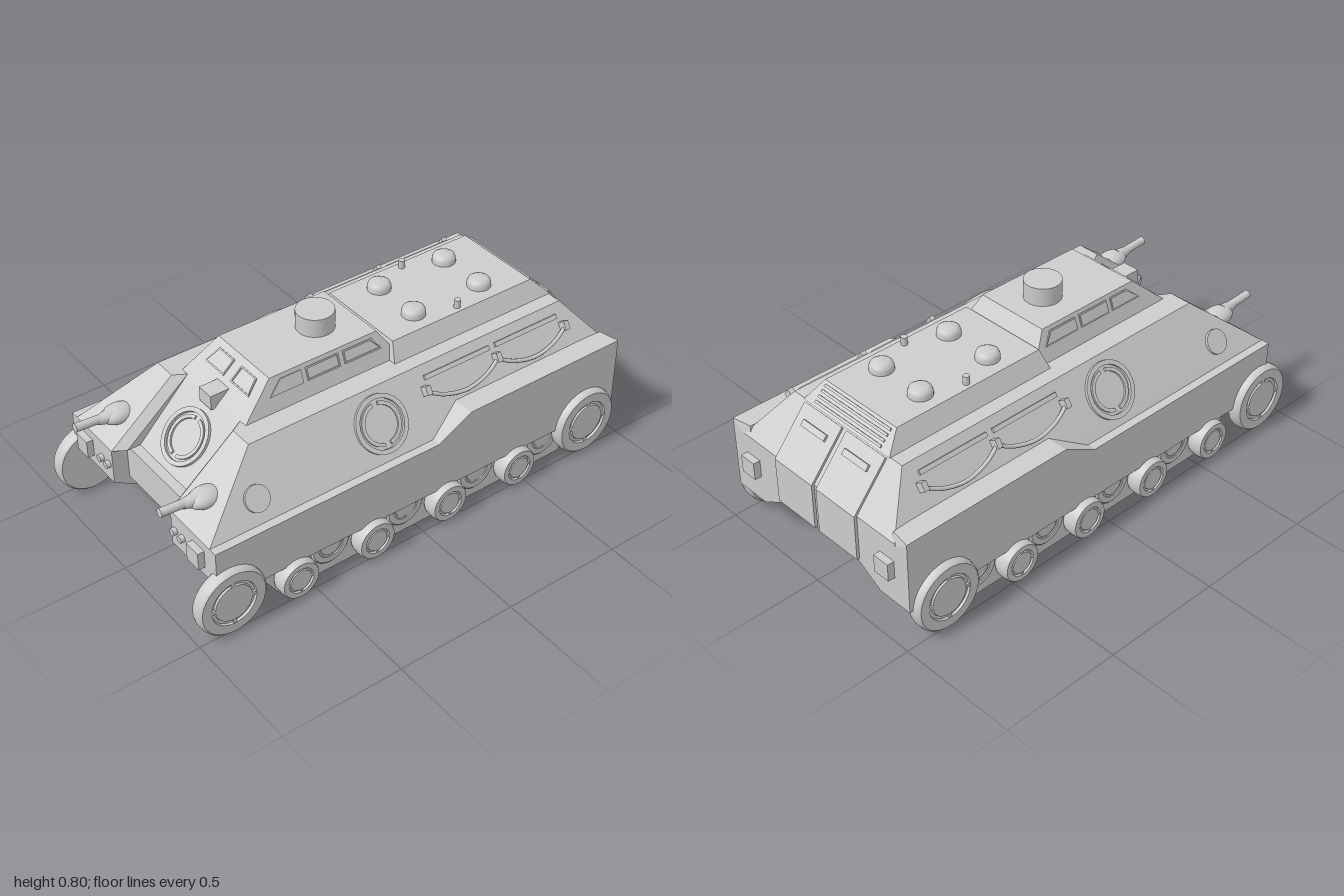
import * as THREE from 'three';
import { ConvexGeometry } from 'three/addons/geometries/ConvexGeometry.js';

export function createModel() {
  const model = new THREE.Group();
  const grey = new THREE.MeshStandardMaterial({ color: 0xcccccc });
  grey.name = 'armourGrey';

  const add = (name, geo, x = 0, y = 0, z = 0, parent = model) => {
    const m = new THREE.Mesh(geo, grey);
    m.name = name;
    m.position.set(x, y, z);
    parent.add(m);
    return m;
  };
  const V = (x, y, z) => new THREE.Vector3(x, y, z);
  // Convex solid from points, on side s, or mirrored in x when s is 0
  const hull = (name, s, pts) => add(name, new ConvexGeometry(
    pts.flatMap(([x, y, z]) => s ? [V(s * x, y, z)] : [V(x, y, z), V(-x, y, z)])));
  // Side profile of [z, y] points, extruded from x0 to x1
  const extrudeX = (name, profile, x0, x1) => {
    const g = new THREE.ExtrudeGeometry(new THREE.Shape(profile.map(p => new THREE.Vector2(...p))),
      { depth: x1 - x0, bevelEnabled: false });
    return add(name, g.rotateY(-Math.PI / 2).translate(x1, 0, 0));
  };
  // Empty frame on a sloped plate: local z is the plate normal, local y runs up the slope
  const plate = (name, x, y, z, turn, tilt) => {
    const g = new THREE.Group();
    g.name = name;
    g.position.set(x, y, z);
    g.rotation.set(-tilt, turn, 0, 'YXZ');
    model.add(g);
    return g;
  };
  const arc = (r0, r1, a0, a1, depth) => {
    const s = new THREE.Shape();
    s.absarc(0, 0, r1, a0, a1, false);
    s.absarc(0, 0, r0, a1, a0, true);
    return new THREE.ExtrudeGeometry(s, { depth, bevelEnabled: false, curveSegments: 24 });
  };
  const hatch = (parent, x, y) => {
    add('hatchRim', arc(0.094, 0.112, 0, Math.PI * 2, 0.012), x, y, 0, parent);
    for (const a of [-Math.PI / 2, Math.PI / 2])
      add('hatchInnerRing', arc(0.07, 0.084, a + 0.16, a + Math.PI - 0.16, 0.008), x, y, 0, parent);
  };
  // Window frame from four corners
  const windowFrame = (parent, c) => {
    const mx = c.reduce((t, p) => t + p[0], 0) / 4, my = c.reduce((t, p) => t + p[1], 0) / 4;
    const s = new THREE.Shape(c.map(p => new THREE.Vector2(...p)));
    s.holes.push(new THREE.Path(c.map(([x, y]) =>
      new THREE.Vector2(x - Math.sign(x - mx) * 0.006, y - Math.sign(y - my) * 0.006))));
    add('windowFrame', new THREE.ExtrudeGeometry(s, { depth: 0.005, bevelEnabled: false }), 0, 0, 0, parent);
  };

  // Centre of the body with recessed nose and undercut tail
  extrudeX('centreBody', [[0.84, 0.225], [0.84, 0.375], [0.8, 0.375], [0.58, 0.6], [-0.82, 0.6],
    [-0.97, 0.42], [-0.97, 0.225], [-0.8, 0.15], [0.72, 0.15]], -0.2, 0.2);
  // Belly
  hull('belly', 0, [[0.45, 0.2, 0.5], [0.45, 0.15, 0.773], [0.317, 0.12, 0.72], [0.2, 0.08, 0.65],
    [0.2, 0.08, -0.7], [0.317, 0.12, -0.76], [0.45, 0.15, -0.82], [0.2, 0.225, -0.965]]);

  const sideTilt = Math.atan2(0.15, 0.225);
  const up = y => (y - 0.375) / 0.832;
  for (const s of [1, -1]) {
    // Lower side, sloping cheek and rear fender
    hull('lowerSide', s, [[0.2, 0.375, 0.905], [0.485, 0.375, 0.905], [0.2, 0.225, 0.905], [0.485, 0.225, 0.905],
      [0.2, 0.15, 0.773], [0.485, 0.15, 0.773], [0.2, 0.15, -0.8], [0.33, 0.15, -0.97], [0.2, 0.225, -0.97],
      [0.485, 0.15, -0.97], [0.2, 0.375, -0.97], [0.485, 0.375, -0.97]]);
    hull('upperSide', s, [[0.17, 0.375, 0.855], [0.2, 0.375, 0.905], [0.45, 0.375, 0.905], [0.17, 0.6, 0.58],
      [0.2, 0.6, 0.63], [0.295, 0.6, 0.63], [0.17, 0.6, -0.82], [0.295, 0.6, -0.82],
      [0.17, 0.375, -0.97], [0.45, 0.375, -0.97], [0.17, 0.42, -0.97], [0.42, 0.42, -0.97]]);
    hull('rearFender', s, [[0.485, 0.375, -0.075], [0.38, 0.375, -0.075], [0.485, 0.455, -0.225],
      [0.36, 0.455, -0.225], [0.485, 0.455, -0.97], [0.4, 0.455, -0.955], [0.485, 0.375, -0.97],
      [0.38, 0.375, -0.97]]);
    extrudeX('trackBox', [[0.62, 0], [0.73, 0.16], [-0.8, 0.16], [-0.73, 0]],
      s > 0 ? 0.315 : -0.45, s > 0 ? 0.45 : -0.315);

    // Fittings on the sloping side
    const side = plate('sideFittings', s * 0.45, 0.375, 0, s * Math.PI / 2, sideTilt);
    hatch(side, -s * 0.11, up(0.49));
    add('sideCap', new THREE.CylinderGeometry(0.05, 0.05, 0.012, 32).rotateX(Math.PI / 2),
      -s * 0.675, up(0.45), 0.006, side);
    for (const [a, b] of [[-0.11, -0.45], [-0.45, -0.79]]) {
      const mid = (a + b) / 2;
      add('sideRail', new THREE.BoxGeometry(0.31, 0.018, 0.01), -s * mid, up(0.562), 0.005, side);
      const rope = new THREE.CatmullRomCurve3([0, 0.2, 0.5, 0.8, 1].map(t =>
        V(-s * (a + (b - a) * t), up(0.52) - 0.055 * (1 - (2 * t - 1) ** 2), 0.016)));
      add('towRope', new THREE.TubeGeometry(rope, 20, 0.008, 8), 0, 0, 0, side);
    }
    for (const z of [-0.11, -0.45, -0.79])
      add('ropeHook', new THREE.BoxGeometry(0.022, 0.036, 0.034), -s * z, up(0.525), 0.017, side);

    // Nose gun
    add('gunMount', new THREE.SphereGeometry(1, 24, 16).scale(0.05, 0.035, 0.07), s * 0.29, 0.455, 0.815);
    const collar = add('gunCollar', new THREE.CylinderGeometry(0.018, 0.03, 0.06, 20), s * 0.287, 0.462, 0.875);
    const barrel = add('gunBarrel', new THREE.CylinderGeometry(0.017, 0.017, 0.17, 20), s * 0.287, 0.468, 0.912);
    collar.rotation.x = barrel.rotation.x = Math.PI / 2 - 0.07;

    // Lamps front and rear
    add('frontLamp', new THREE.BoxGeometry(0.074, 0.074, 0.03), s * 0.376, 0.302, 0.917);
    add('rearLamp', new THREE.BoxGeometry(0.074, 0.074, 0.03), s * 0.376, 0.302, -0.984);
    for (const x of [0.227, 0.275])
      add('smallLamp', new THREE.CylinderGeometry(0.015, 0.015, 0.02, 20).rotateX(Math.PI / 2), s * x, 0.3, 0.912);

    // Rear door leaf and its slot cover
    extrudeX('rearDoor', [[-0.832, 0.6], [-0.982, 0.422], [-0.982, 0.23], [-0.96, 0.23], [-0.96, 0.41], [-0.82, 0.585]],
      s > 0 ? 0.012 : -0.222, s > 0 ? 0.222 : -0.012);
    const slot = plate('doorSlot', s * 0.115, 0.55, -0.874, Math.PI, Math.atan2(0.15, 0.178));
    add('doorSlotCover', new THREE.BoxGeometry(0.13, 0.025, 0.014), 0, 0, 0.003, slot);
  }

  // Front hatch on the recessed nose
  hatch(plate('noseHatch', 0, 0.475, 0.702, 0, Math.atan2(0.22, 0.225)), 0, 0);

  // Cab with windows, cupola and front block
  hull('cab', 0, [[0.205, 0.6, 0.58], [0.16, 0.72, 0.445], [0.16, 0.72, -0.03], [0.205, 0.6, -0.11]]);
  const front = plate('frontWindows', 0, 0.68, 0.49, 0, Math.atan2(0.135, 0.12));
  for (const s of [1, -1]) {
    const f = [[0.022, -0.038], [0.136, -0.038], [0.116, 0.032], [0.022, 0.032]];
    windowFrame(front, f.map(([x, y]) => [s * x, y]));
    const sideWin = plate('sideWindows', s * 0.175, 0.68, 0, s * Math.PI / 2, Math.atan2(0.045, 0.12));
    for (const [a, b, c, d] of [[0.46, 0.315, 0.315, 0.405], [0.295, 0.15, 0.15, 0.295], [0.13, -0.035, 0, 0.13]])
      windowFrame(sideWin, [[a, -0.026], [b, -0.026], [c, 0.026], [d, 0.026]].map(([z, y]) => [-s * z, y]));
  }
  add('cupola', new THREE.CylinderGeometry(0.074, 0.074, 0.08, 40), 0, 0.756, 0.128);
  add('noseBlock', new THREE.BoxGeometry(0.074, 0.06, 0.09), 0, 0.61, 0.57);

  // Rear deck with vents, pegs and grille
  hull('rearDeck', 0, [[0.235, 0.6, -0.06], [0.195, 0.672, -0.08], [0.195, 0.672, -0.755], [0.235, 0.6, -0.825]]);
  const dome = new THREE.LatheGeometry([[0.047, 0], [0.047, 0.018], [0.042, 0.032], [0.028, 0.04], [0, 0.042]]
    .map(p => new THREE.Vector2(...p)), 28);
  for (const s of [1, -1]) {
    for (const z of [-0.57, -0.25]) add('roofVent', dome, s * 0.105, 0.67, z);
    add('roofPeg', new THREE.CylinderGeometry(0.013, 0.013, 0.036, 16), s * 0.168, 0.688, -0.41);
  }
  const grille = plate('rearGrille', 0, 0.636, -0.79, Math.PI, Math.atan2(0.07, 0.072));
  for (let i = 0; i < 4; i++)
    add('grilleSlat', new THREE.BoxGeometry(0.36, 0.01, 0.008), 0, -0.033 + i * 0.022, 0.002, grille);

  // Wheels: outer radius r, thickness w, axis along x
  const wheel = (name, s, x, y, z, r, w) => {
    const pts = [[0, 0], [0.93, 0], [0.98, 0.12], [1, 0.35], [1, 0.65], [0.98, 0.88], [0.93, 1], [0.66, 1],
      [0.64, 0.85], [0.56, 0.85], [0.54, 0.97], [0, 0.97]];
    const g = new THREE.Group();
    g.name = name;
    g.position.set(s * x, y, z);
    g.rotation.z = -s * Math.PI / 2;
    model.add(g);
    // Each band has its own vertices so that the steps stay sharp
    const band = (n, a, b) => add(n, new THREE.LatheGeometry(
      pts.slice(a, b).map(([u, v]) => new THREE.Vector2(u * r, v * w)), 36), 0, 0, 0, g);
    band('wheelBack', 0, 2);
    band('tyre', 1, 7);
    for (let i = 6; i < 11; i++) band(i === 10 ? 'hubFace' : 'rim', i, i + 2);
    for (let i = 0; i < 4; i++) {
      const a = i * Math.PI / 2;
      const bridge = add('rimSpoke', new THREE.BoxGeometry(r * 0.14, w * 0.15, r * 0.1),
        Math.cos(a) * r * 0.6, w * 0.91, Math.sin(a) * r * 0.6, g);
      bridge.rotation.y = -a;
    }
  };
  for (const s of [1, -1]) {
    for (const z of [0.857, -0.813]) wheel('largeWheel', s, 0.455, 0.143, z, 0.143, 0.06);
    for (const z of [0.57, 0.225, -0.12, -0.465]) wheel('roadWheel', s, 0.45, 0.084, z, 0.082, 0.064);
    for (const z of [0.4, 0.055, -0.29, -0.63]) wheel('innerRoadWheel', s, 0.435, 0.125, z, 0.085, 0.026);
  }
  return model;
}
